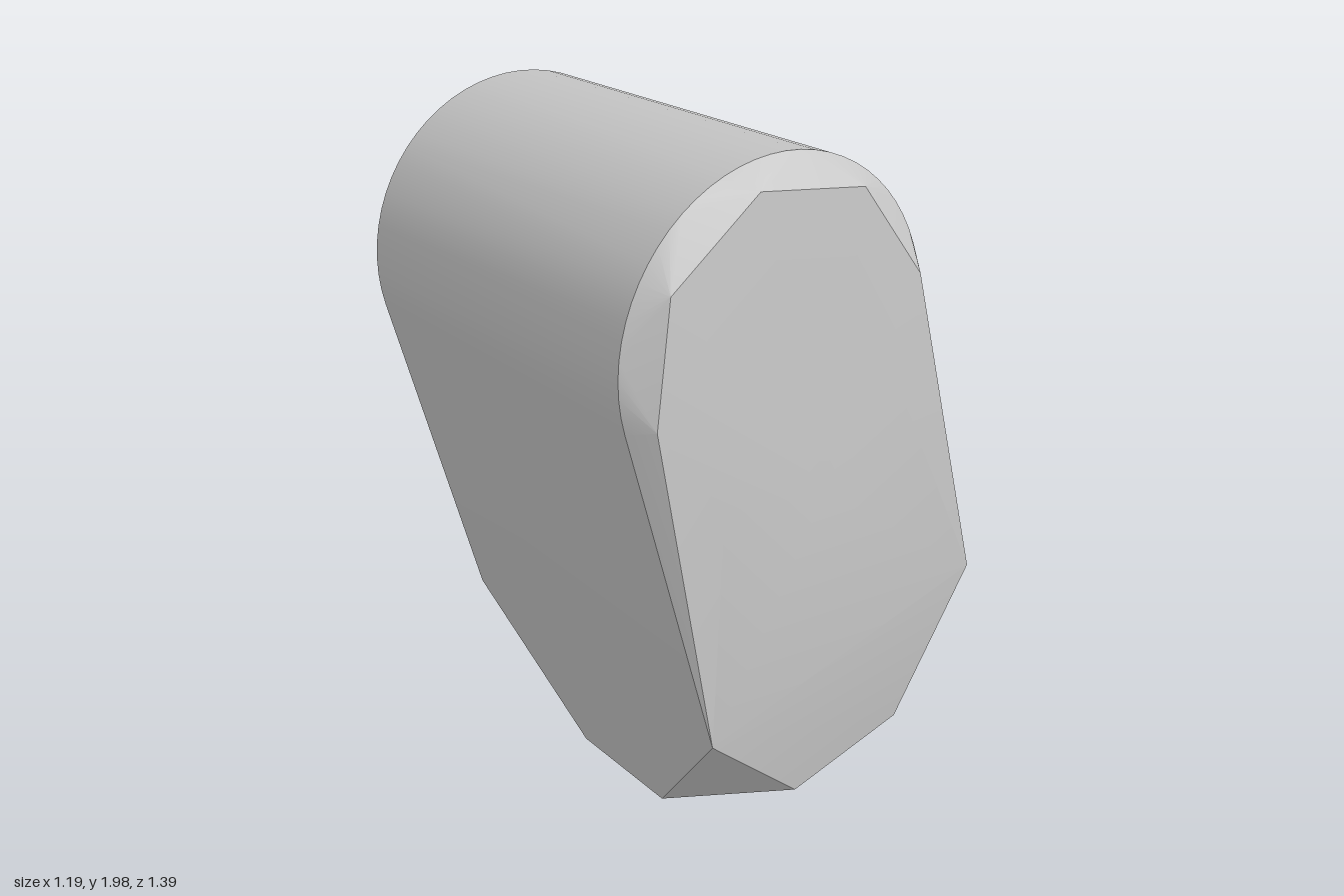
import * as THREE from 'three';
import { ConvexGeometry } from 'three/addons/geometries/ConvexGeometry.js';
import { toCreasedNormals } from 'three/addons/utils/BufferGeometryUtils.js';

const HALF_WIDTH = 0.457;   // also the radius of the rounded top
const ARC_HEIGHT = 1.38;    // height of the centre of the rounded top
const HALF_DEPTH = 0.561;
const FACE_RADIUS = 0.41;   // octagonal end faces
const FACE_DEPTH = 0.622;

export function createModel() {
  const model = new THREE.Group();
  const grey = new THREE.MeshStandardMaterial({ color: 0xc6c6c6 });
  grey.name = 'grey';

  const points = [];
  const add = (x, y, z) => points.push(new THREE.Vector3(x, y, z));

  // Regular octagon that forms the base
  const baseRadius = HALF_WIDTH / Math.cos(Math.PI / 8);
  for (let i = 0; i < 8; i++) {
    const a = (i + 0.5) * Math.PI / 4;
    add(baseRadius * Math.cos(a), 0, baseRadius * Math.sin(a));
  }

  // Slightly raised disc under the base
  for (let i = 0; i < 16; i++) {
    const a = i * Math.PI / 8;
    add(0.25 * Math.cos(a), -0.025, 0.25 * Math.sin(a));
  }

  for (const side of [1, -1]) {
    // Lower corners, where the body starts to taper to the base
    add(HALF_WIDTH, 0.422, side * HALF_DEPTH);
    add(-HALF_WIDTH, 0.422, side * HALF_DEPTH);

    // Half-round top edge
    const steps = 32;
    for (let i = 0; i <= steps; i++) {
      const a = Math.PI * i / steps;
      add(HALF_WIDTH * Math.cos(a), ARC_HEIGHT + HALF_WIDTH * Math.sin(a), side * HALF_DEPTH);
    }

    // Raised octagonal end face
    for (let i = 0; i < 8; i++) {
      const a = i * Math.PI / 4;
      add(FACE_RADIUS * Math.cos(a), ARC_HEIGHT + FACE_RADIUS * Math.sin(a), side * FACE_DEPTH);
    }
  }

  const geometry = toCreasedNormals(new ConvexGeometry(points), 0.2);

  // Lean the whole body, then set it on the ground and centre it
  const depthAxis = new THREE.Vector3(0.062, 0.138, 0.989).normalize();
  const upAxis = new THREE.Vector3(-0.175, 0.976, -0.125).normalize();
  const widthAxis = new THREE.Vector3().crossVectors(upAxis, depthAxis).normalize();
  upAxis.crossVectors(depthAxis, widthAxis);
  geometry.applyMatrix4(new THREE.Matrix4().makeBasis(widthAxis, upAxis, depthAxis));
  geometry.computeBoundingBox();
  const box = geometry.boundingBox;
  const centre = box.getCenter(new THREE.Vector3());
  geometry.translate(-centre.x, -box.min.y, -centre.z);

  const body = new THREE.Mesh(geometry, grey);
  body.name = 'roundedBody';
  model.add(body);
  return model;
}
